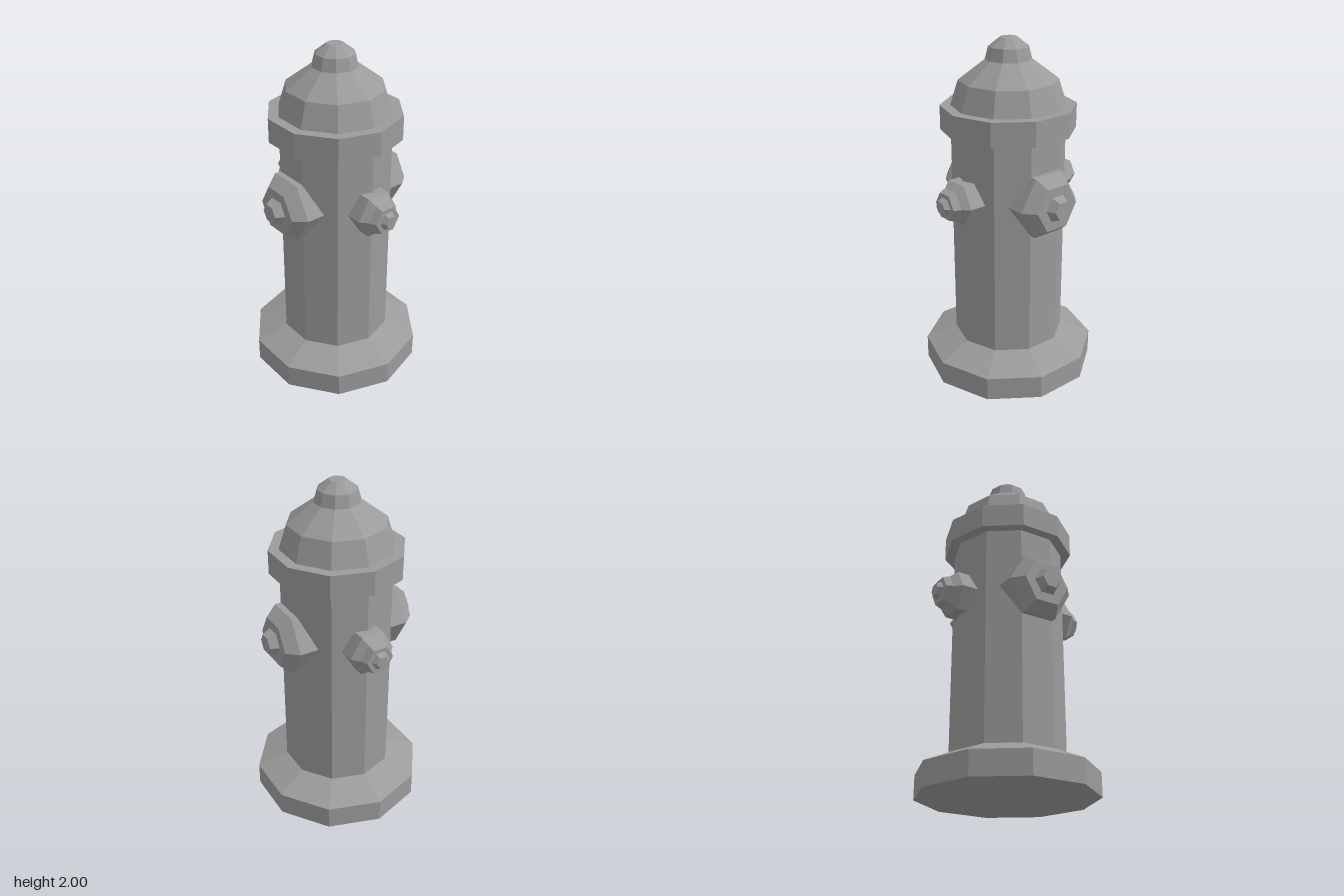
import * as THREE from 'three';

const material = new THREE.MeshStandardMaterial({ color: 0x9b9b9b, flatShading: true });

// Faceted solid of revolution with one corner on the +x axis
function turned(name, sides, profile) {
  const points = profile.map(([r, y]) => new THREE.Vector2(r, y));
  const mesh = new THREE.Mesh(new THREE.LatheGeometry(points, sides, Math.PI / 2), material);
  mesh.name = name;
  return mesh;
}

// Hexagonal outlet pointing along +z, then turned about the barrel
function outlet(name, profile, angle) {
  const group = new THREE.Group();
  const cap = turned(name + 'Cap', 6, profile);
  cap.rotation.x = Math.PI / 2;
  group.add(cap);
  group.name = name;
  group.position.y = 1.127;
  group.rotation.y = angle;
  return group;
}

export function createModel() {
  const model = new THREE.Group();
  model.name = 'hydrant';

  // Ten-sided barrel, from the foot up
  model.add(
    turned('base', 10, [[0, 0], [0.508, 0], [0.508, 0.138], [0.325, 0.218]]),
    turned('barrel', 10, [[0.325, 0.218], [0.325, 1.487]]),
    turned('flange', 10, [[0.325, 1.487], [0.384, 1.487], [0.384, 1.627], [0.325, 1.627]]),
    turned('dome', 10, [[0.325, 1.627], [0.28, 1.767], [0.13, 1.88]]),
    turned('topNut', 10, [[0.13, 1.88], [0.112, 1.95], [0.047, 2], [0, 2]])
  );

  // Large outlets front and back, small stepped ones at the sides
  const large = [[0.2, 0.15], [0.2, 0.345], [0.142, 0.413], [0.08, 0.413], [0.056, 0.462], [0, 0.462]];
  const small = [[0.135, 0.2], [0.135, 0.375], [0.098, 0.415], [0.082, 0.457], [0.055, 0.457], [0.038, 0.486], [0, 0.486]];
  model.add(
    outlet('frontOutlet', large, 0),
    outlet('backOutlet', large, Math.PI),
    outlet('leftOutlet', small, Math.PI / 2),
    outlet('rightOutlet', small, -Math.PI / 2)
  );
  return model;
}
